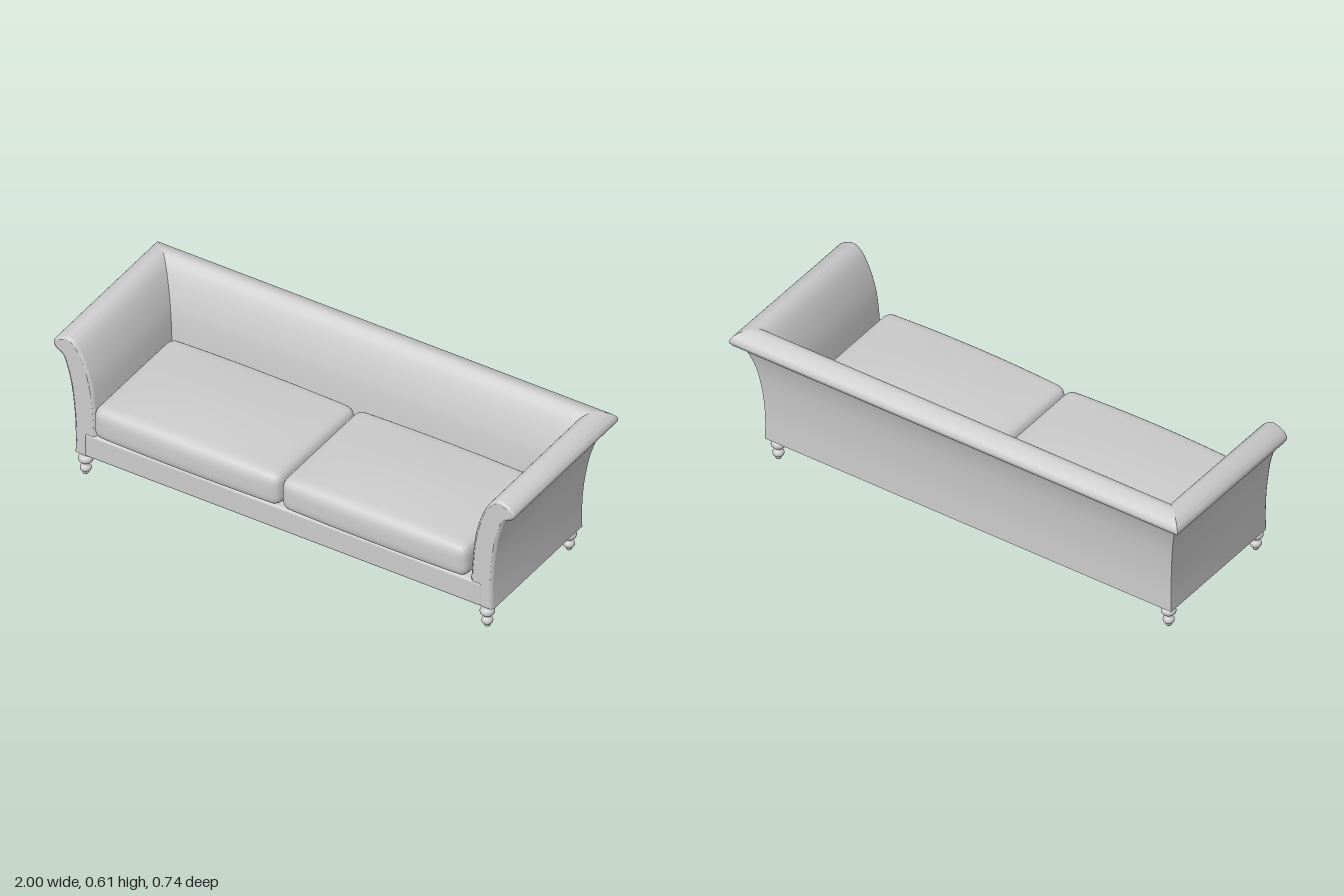
import * as THREE from 'three';
import { mergeVertices, toCreasedNormals } from 'three/addons/utils/BufferGeometryUtils.js';
import { RoundedBoxGeometry } from 'three/addons/geometries/RoundedBoxGeometry.js';

const material = new THREE.MeshStandardMaterial({ color: 0xcccccc });
const HALF_W = 0.905, BACK = 0.275;

function add(parent, name, geometry, x = 0, y = 0, z = 0) {
  const mesh = new THREE.Mesh(geometry, material);
  mesh.name = name;
  mesh.position.set(x, y, z);
  parent.add(mesh);
  return mesh;
}

// Wall section: x is the outward offset, y the height; outside, roll, then inside
const profile = new THREE.SplineCurve([
  [0, 0.093], [0, 0.2], [0.006, 0.3], [0.019, 0.4], [0.036, 0.47], [0.055, 0.517],
  [0.08, 0.533], [0.094, 0.553], [0.092, 0.57], [0.073, 0.59], [0.035, 0.605],
  [0.008, 0.597], [-0.02, 0.567], [-0.05, 0.505], [-0.075, 0.42], [-0.088, 0.31], [-0.095, 0.2], [-0.095, 0.093],
].map(p => new THREE.Vector2(...p))).getPoints(60);

// Section pulled inwards along its normals, for the rounded arm fronts
function inset(amount) {
  const n = profile.length;
  return profile.map((p, i) => {
    const a = profile[Math.max(i - 1, 0)], b = profile[Math.min(i + 1, n - 1)];
    const t = b.clone().sub(a).normalize();
    const end = i === 0 || i === n - 1 ? amount * 0.3 : 0;
    return new THREE.Vector2(p.x - t.y * amount, p.y + t.x * amount + end);
  });
}

// Joins rings of points into a surface
function loft(rings) {
  const pos = [];
  for (let s = 0; s < rings.length - 1; s++) {
    const A = rings[s], B = rings[s + 1];
    for (let i = 0; i < A.length; i++) {
      const j = (i + 1) % A.length;
      for (const v of [A[i], A[j], B[j], A[i], B[j], B[i]]) pos.push(v.x, v.y, v.z);
    }
  }
  const geo = new THREE.BufferGeometry();
  geo.setAttribute('position', new THREE.Float32BufferAttribute(pos, 3));
  return toCreasedNormals(geo, 0.7);
}

const FRONT_DROP = 0.992;
const armRing = (side, z, amount) => inset(amount).map(p =>
  new THREE.Vector3(side * (HALF_W + p.x), p.y * FRONT_DROP, z));
const cornerRing = side => profile.map(p =>
  new THREE.Vector3(side * (HALF_W + p.x), p.y, -(BACK + p.x)));

// Stuffed cushion: rounded box with a crowned top and bulging front
function cushionGeometry(w, h, d) {
  const geo = new THREE.BoxGeometry(2, 2, 2, 24, 12, 24);
  geo.deleteAttribute('uv');
  geo.deleteAttribute('normal');
  const merged = mergeVertices(geo);
  const pos = merged.attributes.position;
  const half = new THREE.Vector3(w / 2, h / 2, d / 2), r = 0.04;
  const inner = half.clone().subScalar(r);
  const v = new THREE.Vector3();
  for (let i = 0; i < pos.count; i++) {
    v.fromBufferAttribute(pos, i);
    for (const k of ['x', 'y', 'z']) v[k] = Math.sin(v[k] * Math.PI / 2) * half[k];
    const core = v.clone().clamp(inner.clone().negate(), inner);
    v.sub(core).setLength(r).add(core);
    const u = v.x / half.x, t = v.z / half.z, s = v.y / half.y;
    if (s > 0) v.y += s * 0.024 * (1 - u * u) * (1 - 0.7 * t * t);
    if (t > 0) v.z += t * 0.012 * (1 - u * u) * (1 - s * s * 0.5);
    pos.setXYZ(i, v.x, v.y, v.z);
  }
  merged.computeVertexNormals();
  return merged;
}

export function createModel() {
  const sofa = new THREE.Group();
  sofa.name = 'sofa';

  // Back and both arms, mitred at the rear corners
  add(sofa, 'back', loft([cornerRing(-1), cornerRing(1)]));
  for (const side of [-1, 1]) {
    const arm = new THREE.Group();
    arm.name = side > 0 ? 'leftArm' : 'rightArm';
    sofa.add(arm);
    const rings = [cornerRing(side), armRing(side, 0.325, 0), armRing(side, 0.333, 0.003), armRing(side, 0.338, 0.011)];
    add(arm, 'armBody', loft(side > 0 ? rings : rings.reverse()));
    const face = inset(0.011).map(p => new THREE.Vector2(side * (HALF_W + p.x), p.y * FRONT_DROP));
    add(arm, 'armFront', new THREE.ShapeGeometry(new THREE.Shape(face)), 0, 0, 0.338);
  }

  // Seat base with its front rail
  add(sofa, 'seatBase', new RoundedBoxGeometry(1.72, 0.106, 0.581, 4, 0.012), 0, 0.145, 0.0505);

  // Two seat cushions
  add(sofa, 'rightCushion', cushionGeometry(0.812, 0.14, 0.54), -0.412, 0.27, 0.09);
  add(sofa, 'leftCushion', cushionGeometry(0.808, 0.14, 0.54), 0.4, 0.27, 0.09);

  // Turned legs
  const legProfile = new THREE.SplineCurve([
    [0.011, 0], [0.013, 0.01], [0.021, 0.018], [0.021, 0.031], [0.013, 0.039], [0.014, 0.047],
    [0.027, 0.058], [0.027, 0.074], [0.016, 0.083], [0.02, 0.098],
  ].map(p => new THREE.Vector2(...p))).getPoints(30);
  const legGeometry = new THREE.LatheGeometry([new THREE.Vector2(0, 0), ...legProfile], 20);
  for (const x of [-0.87, 0.87])
    for (const z of [0.315, -0.24])
      add(sofa, `${z > 0 ? 'front' : 'back'}${x > 0 ? 'Left' : 'Right'}Leg`, legGeometry, x, 0, z);

  return sofa;
}
